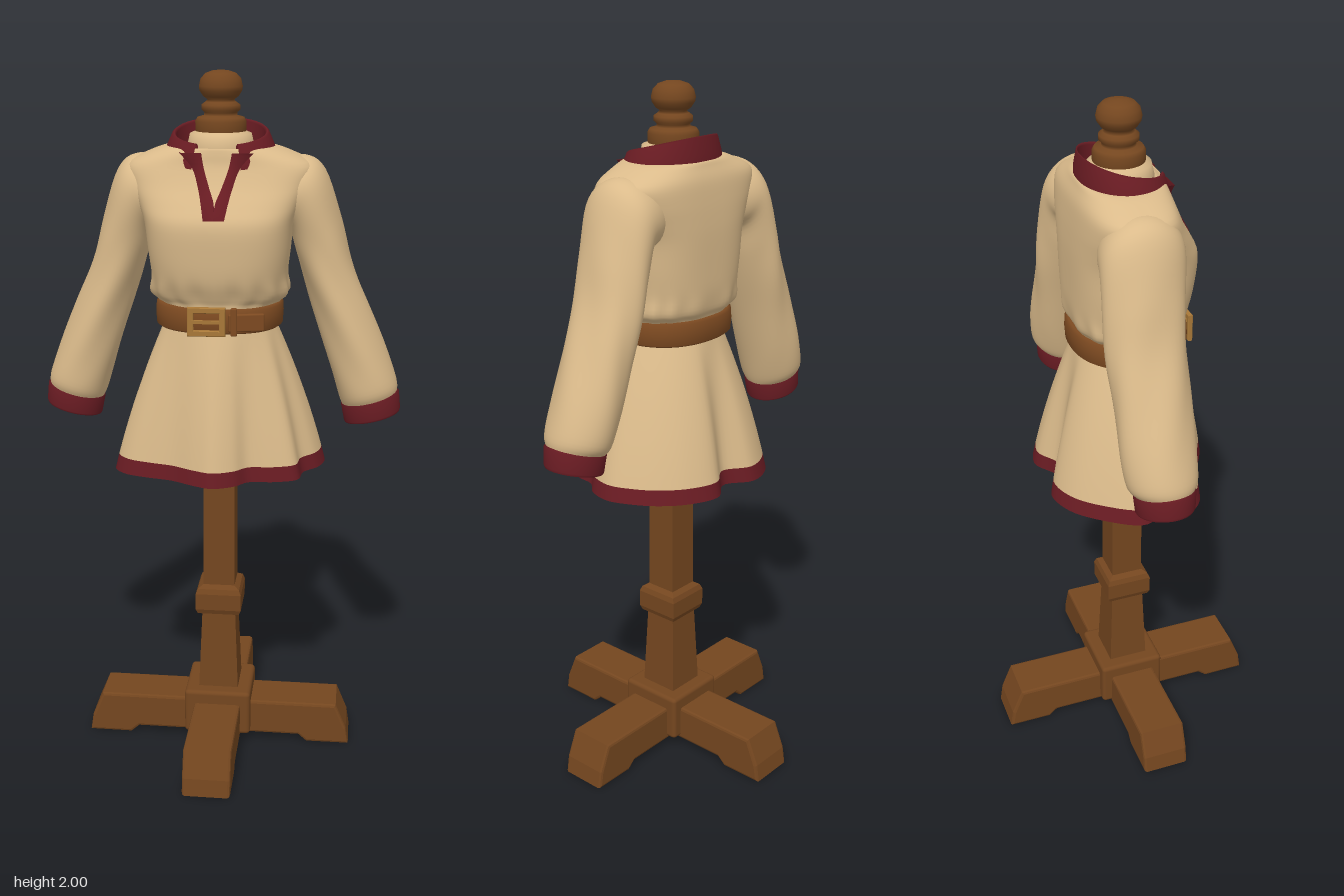
import * as THREE from 'three';
import { RoundedBoxGeometry } from 'three/addons/geometries/RoundedBoxGeometry.js';

const material = (name, color) => {
  const m = new THREE.MeshStandardMaterial({ color });
  m.name = name;
  return m;
};

// Catmull-Rom interpolation of rows of section values
function smoothRows(rows, steps) {
  const out = [], n = rows.length;
  for (let k = 0; k < n - 1; k++) {
    const [p, a, b, q] = [rows[Math.max(k - 1, 0)], rows[k], rows[k + 1], rows[Math.min(k + 2, n - 1)]];
    for (let j = 0; j < steps; j++) {
      const t = j / steps;
      out.push(a.map((v, c) => v + 0.5 * t * (b[c] - p[c] + t * (2 * p[c] - 5 * v + 4 * b[c] - q[c]
        + t * (3 * (v - b[c]) + q[c] - p[c])))));
    }
  }
  out.push(rows[n - 1]);
  return out;
}

// Skin over rings of points; rings run counter-clockwise from above, bottom to top
function loft(rings, closed = true) {
  const n = rings[0].length, index = [];
  for (let r = 0; r < rings.length - 1; r++) {
    for (let i = 0; i < (closed ? n : n - 1); i++) {
      const a = r * n + i, b = r * n + (i + 1) % n;
      index.push(a, b, a + n, b, b + n, a + n);
    }
  }
  const g = new THREE.BufferGeometry();
  g.setAttribute('position', new THREE.Float32BufferAttribute(rings.flat(2), 3));
  g.setIndex(index);
  g.computeVertexNormals();
  return g;
}

// Downward-facing cap of one ring
function capBelow(ring) {
  const n = ring.length, mid = [0, 1, 2].map(c => ring.reduce((s, p) => s + p[c], 0) / n), index = [];
  for (let i = 0; i < n; i++) index.push(n, (i + 1) % n, i);
  const g = new THREE.BufferGeometry();
  g.setAttribute('position', new THREE.Float32BufferAttribute([...ring, mid].flat(), 3));
  g.setIndex(index);
  g.computeVertexNormals();
  return g;
}

// Rounded-box outline point: half width a, front zf, back zb, squareness n
function outline(th, a, zf, zb, n) {
  const f = v => Math.sign(v) * Math.abs(v) ** (2 / n), c = (zf + zb) / 2;
  return [a * f(Math.sin(th)), c + (zf - zb) / 2 * f(Math.cos(th))];
}
const angles = n => Array.from({ length: n }, (_, i) => i / n * Math.PI * 2);

export function createModel() {
  const group = new THREE.Group();
  const wood = material('wood', 0x74461f), cloth = material('linen', 0xdbbb8b);
  const trim = material('red trim', 0x6a1c23), leather = material('leather', 0x7d4a21);
  const brass = material('brass', 0xa87838);
  trim.side = THREE.DoubleSide;
  const add = (name, geo, mat) => {
    const m = new THREE.Mesh(geo, mat);
    m.name = name;
    group.add(m);
    return m;
  };

  // Crossed feet
  const foot = new THREE.Shape([[-0.392, 0.008], [-0.275, 0.008], [-0.25, 0.03], [0.25, 0.03], [0.275, 0.008],
    [0.392, 0.008], [0.385, 0.05], [0.355, 0.122], [-0.355, 0.122], [-0.385, 0.05]].map(p => new THREE.Vector2(...p)));
  for (const turn of [0, Math.PI / 2]) {
    const g = new THREE.ExtrudeGeometry(foot, { depth: 0.124, bevelSize: 0.008, bevelThickness: 0.008, bevelSegments: 2 });
    g.translate(0, 0, -0.062);
    g.rotateY(turn);
    add('footBeam', g, wood);
  }
  add('baseBlock', new RoundedBoxGeometry(0.2, 0.14, 0.2, 2, 0.012).translate(0, 0.1, 0), wood);

  // Square post with a collar
  const post = [[0.06, 0.16], [0.05, 0.41], [0.062, 0.415], [0.068, 0.43], [0.068, 0.48], [0.062, 0.495],
    [0.047, 0.505], [0.045, 1.0]].map(([r, y]) => new THREE.Vector2(r * Math.SQRT2, y));
  const postGeo = new THREE.LatheGeometry(post, 4, Math.PI / 4).toNonIndexed();
  postGeo.computeVertexNormals();
  add('post', postGeo, wood);

  // Neck and turned finial
  const lathe = pts => new THREE.LatheGeometry(pts.map(p => new THREE.Vector2(...p)), 36).translate(0, 0, -0.008);
  add('neckForm', lathe([[0.1, 1.7], [0.092, 1.8], [0.085, 1.832], [0.06, 1.842]]), cloth);
  add('finial', lathe([[0.066, 1.83], [0.07, 1.84], [0.07, 1.865], [0.064, 1.875], [0.046, 1.88], [0.045, 1.888],
    [0.053, 1.895], [0.053, 1.908], [0.042, 1.916], [0.036, 1.922], [0.048, 1.93], [0.058, 1.945], [0.06, 1.957],
    [0.055, 1.977], [0.042, 1.991], [0.022, 1.998], [0, 2]]), wood);

  // Skirt: waist oval flowing into a wavy hem
  const hem = [[0, 0.247], [0.06, 0.225], [0.1, 0.185], [0.17, 0.18], [0.235, 0.155], [0.248, 0.09], [0.29, 0.04],
    [0.306, -0.03], [0.28, -0.1], [0.24, -0.16], [0.17, -0.218], [0.08, -0.245], [0, -0.2], [-0.08, -0.245],
    [-0.17, -0.22], [-0.25, -0.14], [-0.304, -0.04], [-0.272, 0.035], [-0.297, 0.09], [-0.26, 0.14],
    [-0.19, 0.168], [-0.12, 0.188], [-0.05, 0.228]];
  const hemPts = new THREE.CatmullRomCurve3(hem.map(([x, z]) => new THREE.Vector3(x, 0, z)), true).getPoints(120).slice(0, -1);
  const skirtRing = y => {
    const s = (1.32 - y) / 0.435, t = s * (1.3 - 0.3 * s);
    return hemPts.map(p => {
      const [x, z] = outline(Math.atan2(p.x, p.z), 0.155, 0.152, -0.135, 2);
      return [x + (p.x - x) * t, y + 0.008 * (p.x / 0.3) * Math.max(0, s - 0.5), z + (p.z - z) * t];
    });
  };
  const levels = (a, b, n) => Array.from({ length: n + 1 }, (_, i) => a + (b - a) * i / n);
  add('skirt', loft(levels(0.93, 1.32, 16).map(skirtRing)), cloth);
  add('skirtHem', loft(levels(0.887, 0.93, 2).map(skirtRing)), trim);
  add('skirtUnderside', capBelow(skirtRing(0.887)), trim);

  // Bodice, bloused over the belt and closing inside the neck: y, half width, front, back, squareness
  const bodice = smoothRows([[1.3, 0.155, 0.15, -0.13, 2.2], [1.37, 0.168, 0.14, -0.135, 2.3], [1.4, 0.194, 0.148, -0.15, 2.5],
    [1.45, 0.19, 0.168, -0.155, 2.7], [1.52, 0.197, 0.178, -0.156, 2.9], [1.6, 0.206, 0.181, -0.156, 3],
    [1.65, 0.225, 0.158, -0.154, 3], [1.7, 0.247, 0.128, -0.15, 3], [1.75, 0.258, 0.106, -0.143, 2.8],
    [1.783, 0.2, 0.1, -0.13, 2.5], [1.8, 0.145, 0.095, -0.12, 2.2], [1.785, 0.115, 0.085, -0.1, 2],
    [1.76, 0.05, 0.04, -0.05, 2]], 4);
  add('bodice', loft(bodice.map(([y, a, zf, zb, n]) => angles(96).map(th => {
    const [x, z] = outline(th, a, zf, zb, n);
    const pucker = 1 + 0.02 * Math.cos(15 * th + Math.sin(3 * th)) * Math.exp(-(((y - 1.405) / 0.035) ** 2));
    return [x * pucker, y, z * pucker];
  }))), cloth);

  // Standing collar, open at the front: radius scale and height across its thickness
  const collarRows = [[1, 0], [0.98, 0.02], [0.86, 0.062], [0.82, 0.066], [0.78, 0.06], [0.8, 0]];
  add('collar', loft(collarRows.map(([k, h]) => Array.from({ length: 61 }, (_, i) => {
    const th = 0.42 + i / 60 * (Math.PI * 2 - 0.84);
    const [x, z] = outline(th, 0.155 * k, 0.122 * k, -0.122 * (0.6 + 0.4 * k), 2.1);
    return [x, 1.772 - 0.028 * Math.cos(th) + h, z];
  })), false), trim);

  // Neckline bands running down the chest: y, inner x, outer x
  const chestZ = y => {
    const k = bodice.findIndex(r => r[0] >= y), a = bodice[k - 1], b = bodice[k];
    return a[2] + (b[2] - a[2]) * (y - a[0]) / (b[0] - a[0]);
  };
  const bands = smoothRows([[1.62, 0, 0.028], [1.66, 0.002, 0.036], [1.7, 0.017, 0.046], [1.75, 0.034, 0.064], [1.79, 0.042, 0.1]], 4);
  for (const s of [1, -1]) {
    add('necklineBand', loft(bands.map(([y, xi, xo]) => {
      const z = chestZ(Math.min(y, 1.78)) + 0.008, e = [[xi, z - 0.012], [xi, z], [xo, z], [xo, z - 0.016]];
      return (s > 0 ? e : e.reverse()).map(([x, d]) => [s * x, y, d]);
    }), false), trim);
  }

  // Sleeves and cuffs: outer x, y, inner x, y, front z, back z
  const sleeveRows = smoothRows([[0.508, 1.105, 0.352, 1.062, 0.042, -0.118], [0.505, 1.14, 0.34, 1.09, 0.054, -0.138],
    [0.47, 1.235, 0.315, 1.17, 0.057, -0.148], [0.42, 1.355, 0.275, 1.3, 0.06, -0.148], [0.37, 1.475, 0.24, 1.41, 0.064, -0.152],
    [0.335, 1.6, 0.212, 1.5, 0.07, -0.15], [0.288, 1.735, 0.19, 1.57, 0.084, -0.145], [0.23, 1.775, 0.15, 1.58, 0.085, -0.135],
    [0.15, 1.76, 0.1, 1.6, 0.06, -0.11]], 5);
  const cuffRows = [[0.517, 1.048, 0.36, 1.01, 0.038, -0.114], [0.519, 1.056, 0.358, 1.014, 0.042, -0.118],
    [0.514, 1.105, 0.348, 1.062, 0.046, -0.122], [0.504, 1.112, 0.356, 1.07, 0.036, -0.112]];
  for (const s of [1, -1]) {
    const side = s > 0 ? 'left' : 'right';
    const ring = fold => ([ox, oy, ix, iy, zf, zb]) => angles(48).map(th => {
      const w = 1 + fold * Math.cos(5 * s * th + oy * 14) * Math.sin(Math.PI * Math.min(1, Math.max(0, (oy - 1.1) / 0.6)));
      const u = Math.sin(s * th) * w / 2, v = Math.cos(th) * w / 2;
      return [s * ((ox + ix) / 2 + (ox - ix) * u), (oy + iy) / 2 + (oy - iy) * u, (zf + zb) / 2 + (zf - zb) * v];
    });
    add(side + 'Sleeve', loft(sleeveRows.map(ring(0.03))), cloth);
    const cuff = cuffRows.map(ring(0));
    add(side + 'Cuff', loft(cuff), trim);
    add(side + 'CuffUnderside', capBelow(cuff[0]), trim);
  }

  // Belt with buckle, strap end and keeper
  const beltRows = [[1.312, 0.155], [1.308, 0.17], [1.314, 0.178], [1.345, 0.18], [1.372, 0.178], [1.378, 0.17], [1.374, 0.155]];
  add('belt', loft(beltRows.map(([y, r]) => angles(72).map(th => {
    const [x, z] = outline(th, r, r - 0.006, 0.026 - r, 2.3);
    return [x, y, z];
  }))), leather);
  const frame = new THREE.Shape([[-0.05, -0.038], [0.05, -0.038], [0.05, 0.038], [-0.05, 0.038]].map(p => new THREE.Vector2(...p)));
  frame.holes.push(new THREE.Path([[-0.037, -0.026], [-0.037, 0.026], [0.037, 0.026], [0.037, -0.026]].map(p => new THREE.Vector2(...p))));
  add('buckleFrame', new THREE.ExtrudeGeometry(frame, { depth: 0.01, bevelSize: 0.002, bevelThickness: 0.002, bevelSegments: 1 })
    .translate(-0.02, 1.345, 0.172), brass);
  add('bucklePin', new THREE.BoxGeometry(0.085, 0.009, 0.009).translate(-0.02, 1.345, 0.181), brass);
  const strap = add('strapEnd', new RoundedBoxGeometry(0.1, 0.05, 0.012, 2, 0.005), leather);
  strap.position.set(0.088, 1.342, 0.163);
  strap.rotation.y = 0.25;
  add('beltKeeper', new RoundedBoxGeometry(0.018, 0.078, 0.014, 2, 0.004).translate(0.055, 1.345, 0.174), leather);

  return group;
}
